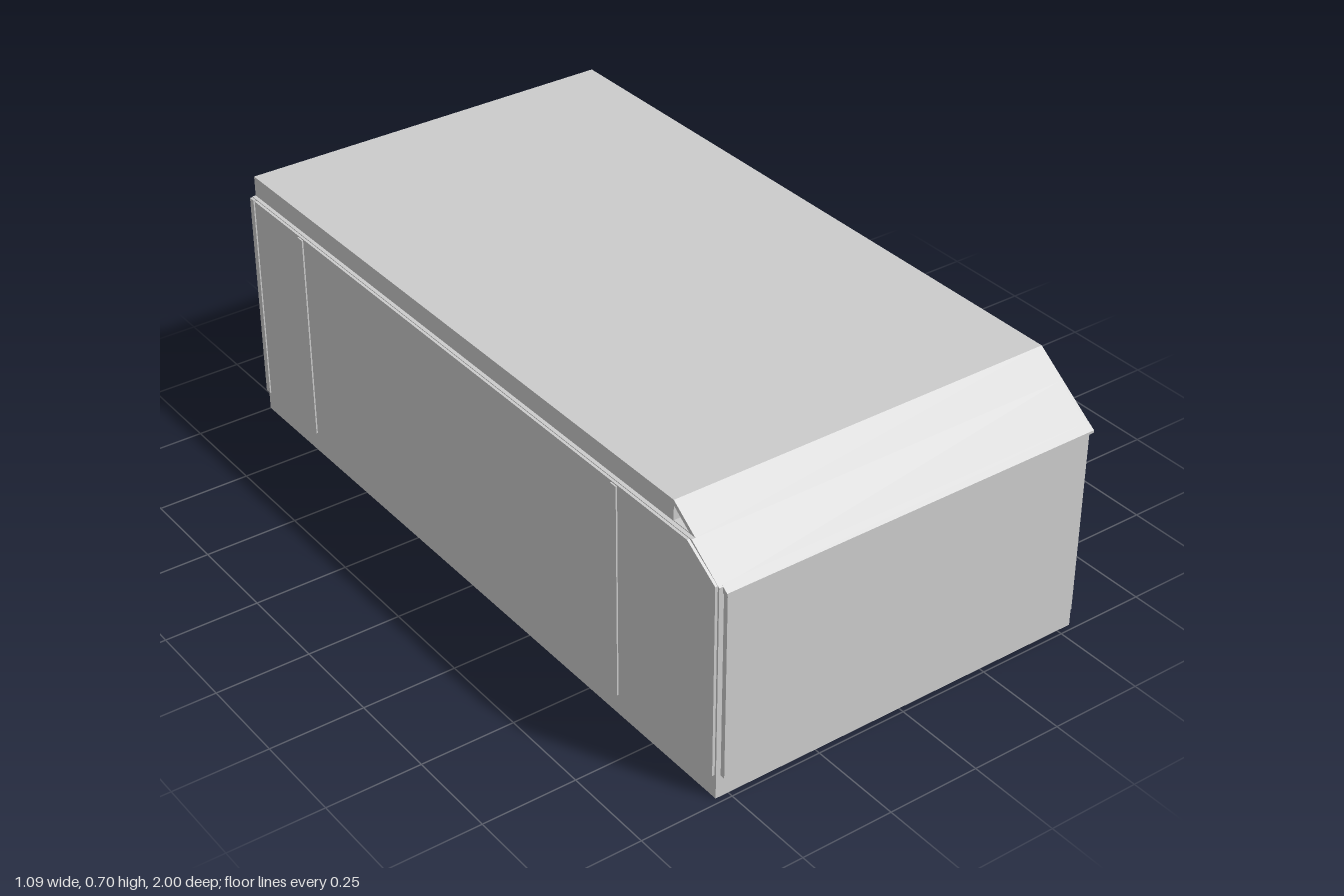
import * as THREE from 'three';

const material = new THREE.MeshStandardMaterial({ color: 0xcccccc, flatShading: true });

const path = (points, Type = THREE.Path) =>
  new Type(points.map(([z, y]) => new THREE.Vector2(z, y)));

const rect = (z0, z1, y0, y1) => [[z0, y0], [z1, y0], [z1, y1], [z0, y1]];

export function createModel() {
  const model = new THREE.Group();

  const add = (name, geometry) => {
    const mesh = new THREE.Mesh(geometry, material);
    mesh.name = name;
    model.add(mesh);
    return mesh;
  };

  // Side profile in (z, y), extruded across the width from x0 to x1
  const profile = (name, points, x0, x1, holes = []) => {
    const shape = path(points, THREE.Shape);
    shape.holes = holes.map((h) => path(h));
    const geometry = new THREE.ExtrudeGeometry(shape, { depth: x1 - x0, bevelEnabled: false });
    geometry.rotateY(-Math.PI / 2).translate(x1, 0, 0);
    return add(name, geometry);
  };

  const box = (name, x0, x1, y0, y1, z0, z1) => {
    const geometry = new THREE.BoxGeometry(x1 - x0, y1 - y0, z1 - z0);
    geometry.translate((x0 + x1) / 2, (y0 + y1) / 2, (z0 + z1) / 2);
    return add(name, geometry);
  };

  // Main case, with the lower part of the sloped front edge
  const caseProfile = [[-1, 0], [0.985, 0], [0.985, 0.58], [0.887, 0.65], [-1, 0.65]];
  profile('case', caseProfile, -0.535, 0.532);

  // Outer skin with a slot at the back corner and a seam under the lid
  profile('sideSkin', caseProfile, 0.532, 0.54, [
    rect(-0.988, -0.981, 0.06, 0.641),
    rect(-0.988, 0.88, 0.645, 0.648),
  ]);

  // Lid with a triangular channel running across behind the slope
  profile('lid', [[-1, 0.65], [0.887, 0.65], [0.81, 0.705], [-1, 0.705]], -0.525, 0.54, [
    [[0.81, 0.652], [0.865, 0.652], [0.81, 0.691]],
  ]);

  // Sloped front edge overhanging the front panel
  profile('slopeLip', [[0.98, 0.563], [1, 0.563], [1, 0.57], [0.98, 0.584]], -0.525, 0.54);

  // Raised front panel
  box('frontPanel', -0.522, 0.528, 0.06, 0.563, 0.98, 0.998);

  // Raised door on the other side, with a corner post and two ribs
  box('sideDoor', -0.542, -0.53, 0.065, 0.648, -0.975, 0.88);
  profile('sideDoorFront', [[0.88, 0.065], [0.98, 0.065], [0.98, 0.583], [0.88, 0.648]], -0.542, -0.53);
  box('cornerPost', -0.542, -0.53, 0.06, 0.648, -1, -0.982);
  for (const z of [-0.74, 0.615]) {
    box('doorRib', -0.546, -0.53, 0.065, 0.645, z - 0.011, z + 0.011);
  }

  return model;
}
